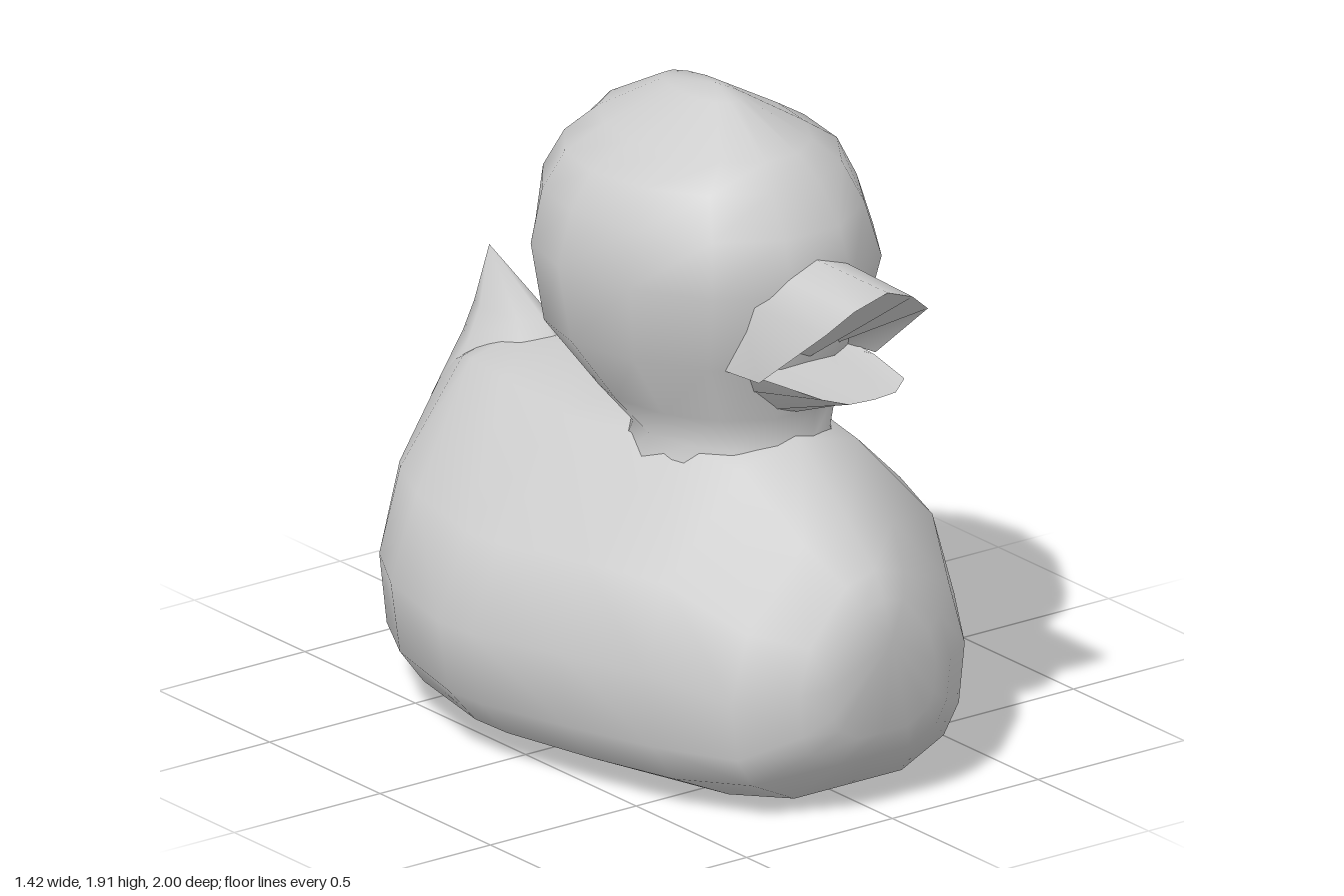
import * as THREE from 'three';
import { mergeVertices } from 'three/addons/utils/BufferGeometryUtils.js';

// Skin a list of equal-length rows of [x, y, z] points
function loft(rows, closed = true) {
  const n = rows[0].length, index = [];
  for (let r = 0; r < rows.length - 1; r++) {
    for (let i = 0; i < (closed ? n : n - 1); i++) {
      const j = (i + 1) % n;
      const a = r * n + i, b = r * n + j, c = a + n, d = b + n;
      index.push(a, c, b, b, c, d);
    }
  }
  let g = new THREE.BufferGeometry();
  g.setAttribute('position', new THREE.Float32BufferAttribute(rows.flat(2), 3));
  g.setIndex(index);
  g = mergeVertices(g, 1e-4);
  g.computeVertexNormals();
  return g;
}

// Horizontal ring: half width w, running from back b to front f around centre c
function ring([y, w, b, f, c], sides = 14) {
  return Array.from({ length: sides }, (_, i) => {
    const a = (i / sides) * Math.PI * 2, s = Math.sin(a);
    return [w * Math.cos(a), y, c + s * (s > 0 ? f - c : c - b)];
  });
}

// Mirror a half row, given from its outer end (+x) to the centre line
const mirrorRow = (half) => [
  ...half,
  ...half.slice(0, -1).reverse().map(([x, y, z]) => [-x, y, z]),
];

export function createModel() {
  const group = new THREE.Group();
  const grey = new THREE.MeshStandardMaterial({ color: 0xcccccc, side: THREE.DoubleSide });
  grey.name = 'grey';
  const add = (name, geometry, parent = group) => {
    const mesh = new THREE.Mesh(geometry, grey);
    mesh.name = name;
    parent.add(mesh);
  };

  // Body: one cross-section scaled along z [z, half width, bottom, top]
  const section = [[0.38, 0.95], [0.86, 0.67], [1, 0.42], [0.95, 0.2], [0.82, 0.09], [0.46, 0]];
  const outline = [
    [0, 1], ...section, [0, 0],
    ...section.slice().reverse().map(([x, y]) => [-x, y]),
  ];
  const stations = [
    [-1, 0, 0.61, 0.61], [-0.95, 0.14, 0.26, 0.72], [-0.88, 0.27, 0.06, 0.83],
    [-0.72, 0.45, 0, 0.92], [-0.65, 0.51, 0, 0.94], [-0.44, 0.63, 0, 0.955],
    [-0.12, 0.71, 0, 0.955], [0.02, 0.705, 0, 0.965], [0.32, 0.63, 0, 1.0],
    [0.58, 0.53, 0, 0.985], [0.8, 0.4, 0.04, 0.81], [0.92, 0.26, 0.16, 0.7],
    [0.96, 0.18, 0.24, 0.63], [1, 0, 0.52, 0.52],
  ];
  add('body', loft(stations.map(([z, w, b, t]) =>
    outline.map(([x, y]) => [x * w, b + y * (t - b), z]))));

  // Tail: small pointed ridge
  add('tail', loft([
    [0.72, 0.24, -0.93, -0.35, -0.7],
    [0.9, 0.12, -0.86, -0.48, -0.76],
    [0.98, 0.075, -0.845, -0.57, -0.77],
    [1.13, 0, -0.825, -0.825, -0.825],
  ].map((r) => ring(r, 8))));

  // Head and neck: egg-shaped rings, narrower towards the beak
  add('head', loft([
    [0.86, 0.31, -0.04, 0.6, 0.25],
    [0.96, 0.265, 0.0, 0.57, 0.25],
    [1.05, 0.32, -0.11, 0.57, 0.17],
    [1.22, 0.42, -0.31, 0.63, 0.1],
    [1.45, 0.465, -0.325, 0.7, 0.1],
    [1.6, 0.42, -0.33, 0.65, 0.1],
    [1.71, 0.365, -0.27, 0.57, 0.12],
    [1.78, 0.25, -0.21, 0.51, 0.15],
    [1.88, 0.07, -0.02, 0.29, 0.15],
    [1.91, 0, 0.2, 0.2, 0.2],
  ].map((r) => ring(r))));

  // Beak: each half is a pair of sheets meeting in a sharp lip
  const beak = new THREE.Group();
  beak.name = 'beak';
  group.add(beak);
  const upperRoot = mirrorRow([[0.23, 1.22, 0.5], [0.19, 1.42, 0.56], [0.1, 1.5, 0.62], [0, 1.53, 0.66]]);
  const upperLip = mirrorRow([[0.2, 1.215, 0.66], [0.175, 1.43, 0.93], [0.1, 1.49, 0.96], [0, 1.53, 0.98]]);
  const mouth = mirrorRow([[0.2, 1.215, 0.5], [0.17, 1.215, 0.52], [0.09, 1.22, 0.56], [0, 1.22, 0.6]]);
  const lowerLip = mirrorRow([[0.18, 1.22, 0.68], [0.14, 1.215, 0.87], [0.08, 1.2, 0.91], [0, 1.2, 0.92]]);
  const lowerRoot = mirrorRow([[0.17, 1.2, 0.5], [0.14, 1.14, 0.53], [0.07, 1.08, 0.56], [0, 1.06, 0.57]]);
  add('upperBeakTop', loft([upperLip, upperRoot], false), beak);
  add('upperBeakUnderside', loft([mouth, upperLip], false), beak);
  add('lowerBeakTop', loft([lowerLip, mouth], false), beak);
  add('lowerBeakUnderside', loft([lowerRoot, lowerLip], false), beak);

  return group;
}
